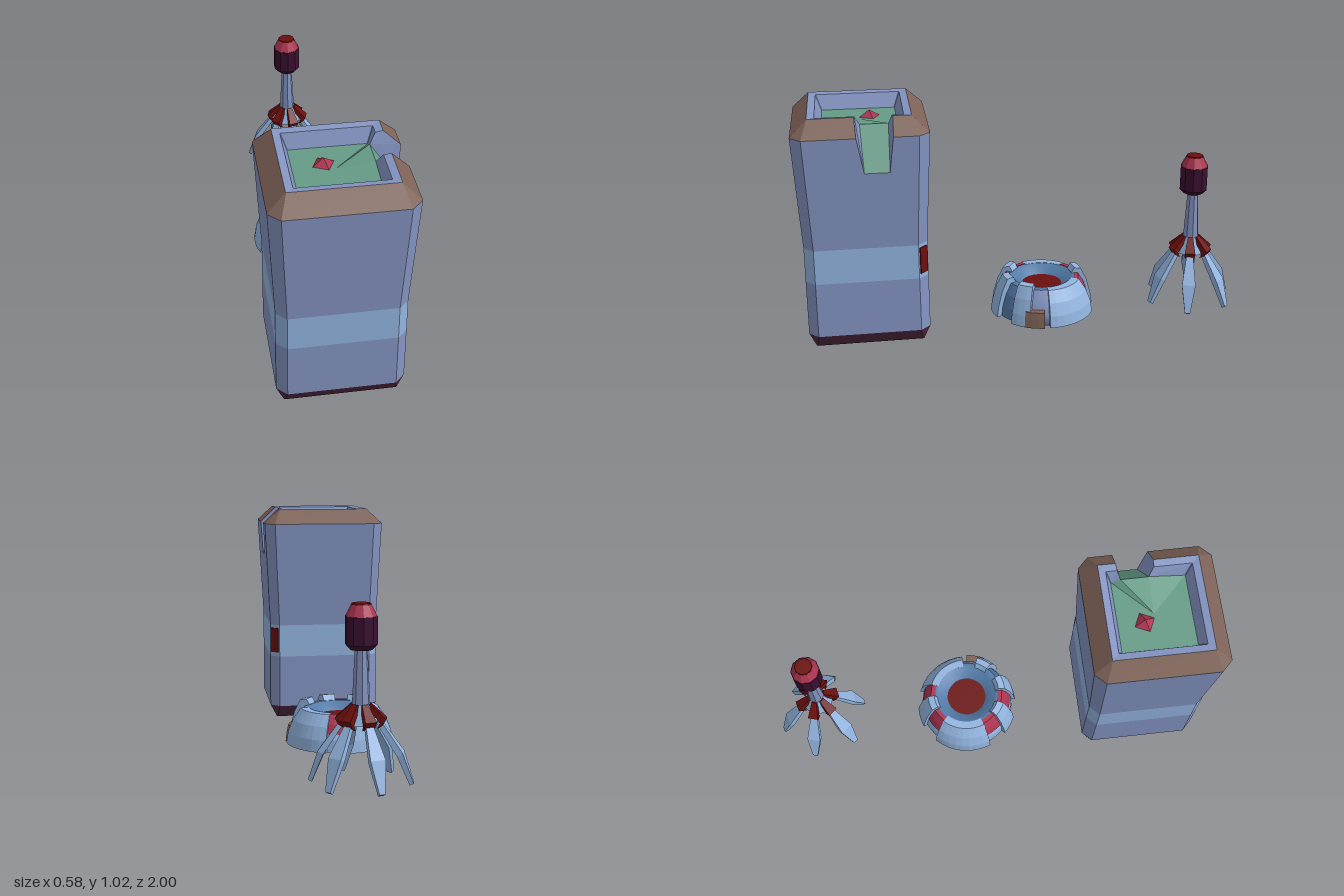
import * as THREE from 'three';

const mat = (name, color) => Object.assign(new THREE.MeshStandardMaterial({ color }), { name });
const M = {
  body: mat('slate blue', 0x8595c3),
  light: mat('light blue', 0x93b5e0),
  steel: mat('steel blue', 0x537ba8),
  brown: mat('brown', 0x7d6257),
  maroon: mat('maroon', 0x4f2840),
  green: mat('green', 0x669c87),
  crimson: mat('crimson', 0xad3552),
  red: mat('dark red', 0x6b100e),
  purple: mat('dark purple', 0x3a1030),
};
const V = (x, y, z) => new THREE.Vector3(x, y, z);

// flat-faced mesh from convex polygons
function polyMesh(name, material, polys) {
  const pts = [];
  for (const p of polys)
    for (let i = 1; i < p.length - 1; i++) pts.push(p[0], p[i], p[i + 1]);
  const g = new THREE.BufferGeometry().setFromPoints(pts);
  g.computeVertexNormals();
  return named(name, new THREE.Mesh(g, material));
}
function named(name, obj) {
  obj.name = name;
  return obj;
}
// quads between two rings, with optional skipped segment
function strip(a, b, skip = -1) {
  const out = [];
  a.forEach((p, i) => {
    const j = (i + 1) % a.length;
    if (i !== skip) out.push([p, a[j], b[j], b[i]]);
  });
  return out;
}
// closed solid through a list of rings
function loft(rings) {
  const out = [[...rings[0]].reverse(), rings[rings.length - 1]];
  for (let i = 0; i < rings.length - 1; i++) out.push(...strip(rings[i], rings[i + 1]));
  return out;
}

function createTower() {
  const g = named('tower', new THREE.Group());
  // chamfered square with two extra points where the spout is cut on the +x side
  const ring = (y, h, c, n0, n1, ny = y) => [
    V(h, ny, n0), V(h, ny, n1), V(h, y, c - h), V(h - c, y, -h), V(c - h, y, -h),
    V(-h, y, c - h), V(-h, y, h - c), V(c - h, y, h), V(h - c, y, h), V(h, y, h - c),
  ];
  const r = [
    ring(0, 0.235, 0.004, -0.009, -0.115),
    ring(0.057, 0.265, 0.042, -0.009, -0.115),
    ring(0.305, 0.264, 0.042, -0.009, -0.115),
    ring(0.46, 0.263, 0.042, -0.009, -0.115),
    ring(0.80, 0.28, 0.045, -0.009, -0.115),
    ring(0.955, 0.288, 0.047, 0.018, -0.134),
    ring(1.025, 0.215, 0.002, 0.023, -0.138),
    ring(1.02, 0.184, 0.002, 0.02, -0.135),
    ring(0.955, 0.16, 0.002, 0.0, -0.12, 0.978),
  ];
  const spoutWall = (k) => [8, 4, 5, 6, 7].map((i) => r[i][k]);
  const center = V(0, 0.955, 0);
  g.add(
    polyMesh('base', M.maroon, [[...r[0]].reverse(), ...strip(r[0], r[1])]),
    polyMesh('lowerWall', M.body, strip(r[1], r[2])),
    polyMesh('band', M.light, strip(r[2], r[3])),
    polyMesh('upperWall', M.body, [...strip(r[3], r[4]), ...strip(r[4], r[5], 0)]),
    polyMesh('topBevel', M.brown, strip(r[5], r[6], 0)),
    polyMesh('rim', M.body, [...strip(r[6], r[7], 0), ...strip(r[7], r[8], 0)]),
    polyMesh('spoutWalls', M.body, [spoutWall(1), spoutWall(0).reverse()]),
    polyMesh('liquid', M.green, r[8].map((p, i) => [center, p, r[8][(i + 1) % 10]])),
    polyMesh('spill', M.green, [[r[4][0], r[4][1], r[8][1], r[8][0]]]),
  );
  // floating crystal
  const crystal = named('crystal', new THREE.Mesh(new THREE.ConeGeometry(0.055, 0.035, 4).toNonIndexed(), M.crimson));
  crystal.geometry.computeVertexNormals();
  crystal.position.set(-0.035, 0.967, -0.045);
  crystal.rotation.y = 0.35;
  g.add(crystal);
  // small panel on the back corner
  const panel = named('cornerPanel', new THREE.Mesh(new THREE.BoxGeometry(0.045, 0.12, 0.009), M.red));
  panel.position.set(0.243, 0.385, -0.243);
  panel.rotation.y = Math.PI * 0.75;
  g.add(panel);
  g.position.z = 0.715;
  return g;
}

function createDome() {
  const g = named('dome', new THREE.Group());
  // solid sector: closed (radius, height) profile swept between two angles in degrees
  const sector = (name, material, a0, a1, profile) => {
    const n = Math.max(2, Math.round((a1 - a0) / 8));
    const rings = [];
    for (let i = 0; i <= n; i++) {
      const a = THREE.MathUtils.degToRad(a0 + ((a1 - a0) * i) / n);
      rings.push(profile.map(([r, y]) => V(r * Math.cos(a), y, r * Math.sin(a))));
    }
    g.add(polyMesh(name, material, loft(rings)));
  };
  const lathe = (name, material, pts) =>
    g.add(named(name, new THREE.Mesh(
      new THREE.LatheGeometry(pts.map(([x, y]) => new THREE.Vector2(x, y)), 32), material)));
  lathe('shell', M.body, [[0, 0.008], [0.212, 0.008], [0.205, 0.06], [0.187, 0.115], [0.16, 0.16]]);
  lathe('bowl', M.steel, [[0.16, 0.16], [0.135, 0.165], [0.085, 0.12]]);
  const core = named('core', new THREE.Mesh(new THREE.CircleGeometry(0.092, 24), M.red));
  core.rotation.x = -Math.PI / 2;
  core.position.y = 0.127;
  g.add(core);

  // armour plates: wide ones are plain, narrow ones carry a raised tab
  const S = 22.5;
  const plate = [[0.19, 0.008], [0.24, 0.008], [0.232, 0.06], [0.21, 0.115], [0.175, 0.165], [0.14, 0.165]];
  const tab = [[0.19, 0.008], [0.24, 0.008], [0.232, 0.06], [0.212, 0.13], [0.185, 0.185], [0.155, 0.19], [0.14, 0.165]];
  for (const [a, n] of [[-3, 3], [-9, 3]]) sector('widePlate', M.light, a * S, (a + n) * S, plate);
  for (const a of [-5, 5, 3, 1]) sector('tabPlate', M.light, a * S, (a + 1) * S, tab);
  // crimson windows with a light sill between the plates
  for (const a of [-4, -6, 6, 4]) {
    sector('windowSill', M.light, a * S, (a + 1) * S, [[0.18, 0.008], [0.22, 0.008], [0.216, 0.06], [0.205, 0.085], [0.18, 0.085]]);
    sector('window', M.crimson, a * S, (a + 1) * S, [[0.17, 0.085], [0.21, 0.085], [0.195, 0.125], [0.17, 0.165], [0.15, 0.165]]);
  }
  sector('recess', M.steel, 2 * S, 3 * S, [[0.18, 0.01], [0.216, 0.01], [0.21, 0.06], [0.192, 0.115], [0.165, 0.162], [0.15, 0.162]]);
  sector('door', M.brown, 6, 28, [[0.2, 0.008], [0.243, 0.008], [0.238, 0.05], [0.232, 0.08], [0.2, 0.08]]);
  g.position.set(0.002, 0, -0.088);
  return g;
}

function createLamp() {
  const g = named('clawLamp', new THREE.Group());
  const drum = (name, material, rTop, rBottom, y0, y1, sides = 10) => {
    const geo = new THREE.CylinderGeometry(rTop, rBottom, y1 - y0, sides).toNonIndexed();
    geo.computeVertexNormals();
    const m = named(name, new THREE.Mesh(geo, material));
    m.position.y = (y0 + y1) / 2;
    g.add(m);
  };
  drum('capTop', M.red, 0.038, 0.04, 0.712, 0.72);
  drum('cap', M.crimson, 0.04, 0.062, 0.67, 0.714);
  drum('head', M.purple, 0.064, 0.064, 0.56, 0.67);
  drum('headBase', M.purple, 0.064, 0.045, 0.54, 0.56);
  drum('stem', M.body, 0.025, 0.036, 0.325, 0.545, 8);
  drum('hub', M.light, 0.036, 0.068, 0.25, 0.325, 12);

  // tapered bar along a path of [radius, height, half width, half thickness]
  const bar = (path) => loft(path.map(([r, y, w, t]) => {
    const dx = 0.85 * t, dy = 0.5 * t;
    return [V(r - dx, y - dy, w), V(r - dx, y - dy, -w), V(r + dx, y + dy, -w), V(r + dx, y + dy, w)];
  }));
  for (let k = 0; k < 6; k++) {
    const leg = named('leg', new THREE.Group());
    leg.add(
      polyMesh('legRoot', M.red, bar([[0.03, 0.325, 0.012, 0.01], [0.088, 0.265, 0.024, 0.014], [0.075, 0.24, 0.022, 0.012]])),
      polyMesh('legBlade', M.light, bar([[0.07, 0.26, 0.014, 0.01], [0.155, 0.135, 0.031, 0.013], [0.2, 0.016, 0.012, 0.009]])),
    );
    leg.rotation.y = -THREE.MathUtils.degToRad(16 + 60 * k);
    g.add(leg);
  }
  g.position.set(0.018, 0, -0.79);
  return g;
}

export function createModel() {
  const model = named('model', new THREE.Group());
  model.add(createTower(), createDome(), createLamp());
  return model;
}
